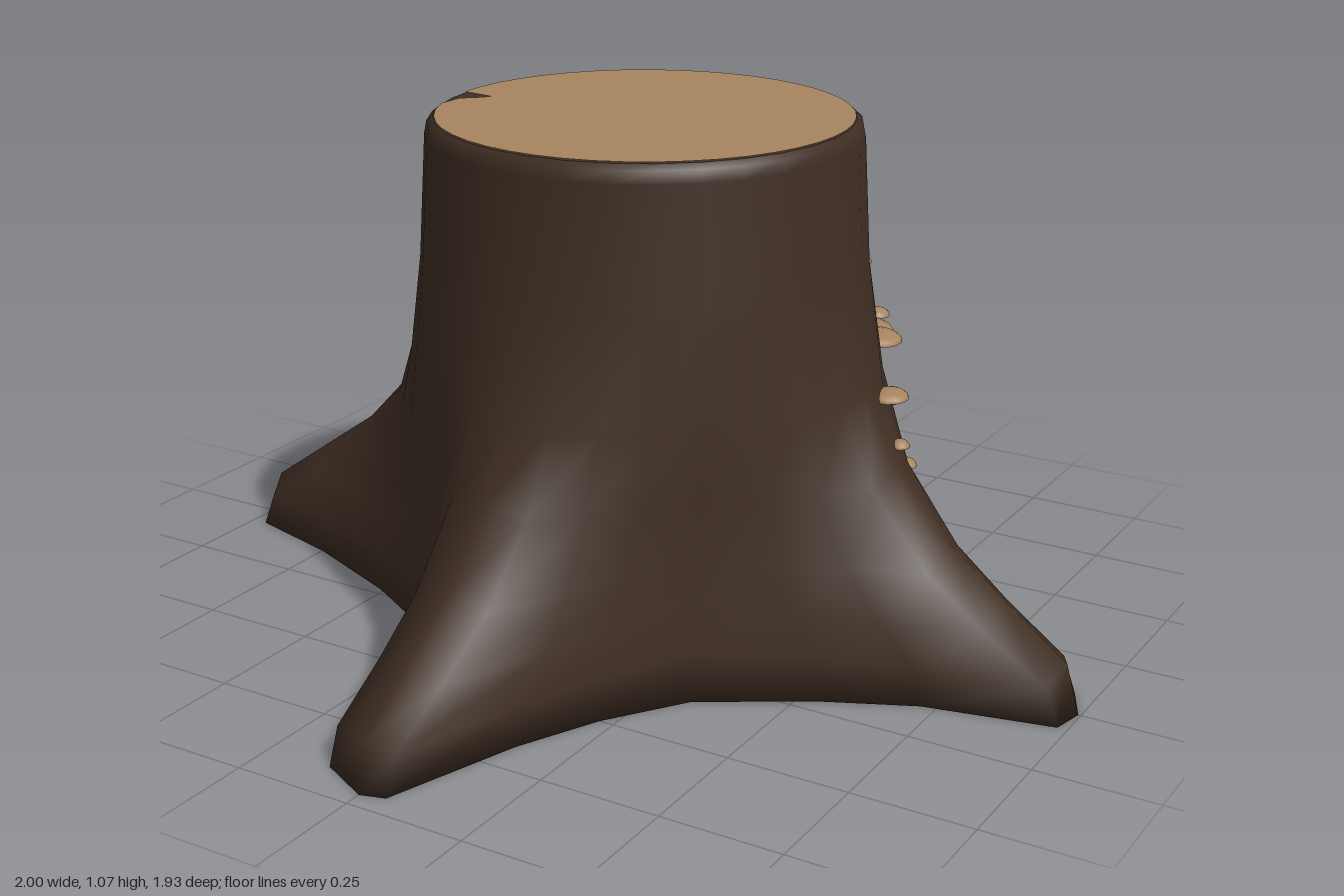
import * as THREE from 'three';

const bark = new THREE.MeshStandardMaterial({ color: 0x3f2e23 });
bark.name = 'bark';
const wood = new THREE.MeshStandardMaterial({ color: 0xa88460 });
wood.name = 'pale wood';

// Ground outline of the four roots as x, z pairs; eight points per root, starting at the +x tip
const outline = [
  [0.995, 0], [0.98, 0.07], [0.72, 0.125], [0.54, 0.21], [0.33, 0.34], [0.22, 0.5], [0.14, 0.67], [0.05, 0.95],
  [0, 0.965], [-0.11, 0.91], [-0.155, 0.6], [-0.26, 0.42], [-0.37, 0.31], [-0.51, 0.23], [-0.75, 0.13], [-0.965, 0.07],
  [-1, 0], [-0.965, -0.085], [-0.7, -0.135], [-0.5, -0.225], [-0.36, -0.33], [-0.23, -0.46], [-0.165, -0.63], [-0.095, -0.93],
  [0, -0.97], [0.06, -0.95], [0.15, -0.65], [0.24, -0.46], [0.35, -0.34], [0.5, -0.225], [0.71, -0.145], [0.955, -0.085],
];
const N = outline.length;
const CX = 0.012, CZ = -0.012;

// Height, trunk radius, and share of the root outline in each ring
const rings = [
  [0, 0.46, 1], [0.1, 0.46, 0.945], [0.2, 0.46, 0.69], [0.29, 0.46, 0.46], [0.43, 0.465, 0.215],
  [0.57, 0.475, 0.065], [0.78, 0.455, 0], [1.03, 0.44, 0], [1.055, 0.435, 0], [1.065, 0.422, 0],
];
// How far the flanks of a root sit below its crest
const droop = [0, 0.28, 0.25, 0.12, 0, 0.12, 0.25, 0.28];

function ringPoint(i, [y, r, t]) {
  const a = (i / N) * Math.PI * 2;
  const [ox, oz] = outline[i % N];
  return [
    THREE.MathUtils.lerp(CX + r * Math.cos(a), ox, t),
    y * (1 - droop[i % 8] * t),
    THREE.MathUtils.lerp(CZ + r * Math.sin(a), oz, t),
  ];
}

function trunkGeometry() {
  const pos = [], index = [];
  for (const ring of rings) for (let i = 0; i < N; i++) pos.push(...ringPoint(i, ring));
  for (let k = 0; k < rings.length - 1; k++) {
    for (let i = 0; i < N; i++) {
      const j = (i + 1) % N, a = k * N + i, b = k * N + j;
      index.push(a, a + N, b, b, a + N, b + N);
    }
  }
  // Underside
  const c = pos.length / 3;
  pos.push(0, 0, 0);
  for (let i = 0; i < N; i++) index.push(c, i, (i + 1) % N);
  const g = new THREE.BufferGeometry();
  g.setAttribute('position', new THREE.Float32BufferAttribute(pos, 3));
  g.setIndex(index);
  g.computeVertexNormals();
  return g;
}

// Trunk surface radius at a height y and an angle turning from +x towards -z
function surfaceRadius(angle, y) {
  let k = 0;
  while (rings[k + 1][0] < y) k++;
  const f = (y - rings[k][0]) / (rings[k + 1][0] - rings[k][0]);
  const ring = rings[k].map((v, n) => THREE.MathUtils.lerp(v, rings[k + 1][n], f));
  const dx = Math.cos(angle), dz = -Math.sin(angle);
  for (let i = 0; i < N; i++) {
    const [ax, , az] = ringPoint(i, ring), [bx, , bz] = ringPoint((i + 1) % N, ring);
    const sa = dx * az - dz * ax, sb = dx * bz - dz * bx;
    if (sa <= 0 && sb > 0) {
      const u = sa / (sa - sb);
      const d = dx * (ax + (bx - ax) * u) + dz * (az + (bz - az) * u);
      if (d > 0) return d;
    }
  }
  return ring[1];
}

// Shelf fungi: angle in degrees, height, half width
const fungi = [
  [10, 0.535, 0.045], [6, 0.45, 0.022], [18, 0.365, 0.028], [24, 0.485, 0.04], [24, 0.665, 0.028],
  [28, 0.31, 0.06], [39, 0.33, 0.025], [34, 0.585, 0.06], [47, 0.57, 0.075], [42, 0.465, 0.025],
  [50, 0.715, 0.045], [62, 0.725, 0.035], [50, 0.28, 0.02], [68, 0.48, 0.045], [72, 0.425, 0.05],
  [76, 0.525, 0.05], [80, 0.655, 0.05], [82, 0.395, 0.065], [84, 0.595, 0.05], [93, 0.65, 0.04],
  [98, 0.435, 0.065], [98, 0.755, 0.03], [102, 0.58, 0.045], [106, 0.66, 0.04], [107, 0.53, 0.06],
  [110, 0.6, 0.035], [114, 0.49, 0.045], [112, 0.32, 0.035], [118, 0.385, 0.025], [120, 0.595, 0.045],
  [122, 0.665, 0.03], [127, 0.615, 0.04],
];

function createFungi() {
  const group = new THREE.Group();
  group.name = 'shelfFungi';
  const dome = new THREE.SphereGeometry(1, 14, 4, 0, Math.PI * 2, 0, Math.PI / 2);
  const disc = new THREE.CircleGeometry(1, 14).rotateX(Math.PI / 2);
  for (const [deg, y, size] of fungi) {
    const a = THREE.MathUtils.degToRad(deg);
    const r = surfaceRadius(a, y) + size * 0.05;
    const fungus = new THREE.Group();
    fungus.name = 'shelfFungus';
    const cap = new THREE.Mesh(dome, wood);
    cap.name = 'fungusCap';
    const under = new THREE.Mesh(disc, bark);
    under.name = 'fungusUnderside';
    fungus.add(cap, under);
    fungus.position.set(r * Math.cos(a), y, -r * Math.sin(a));
    fungus.rotation.y = a;
    fungus.scale.set(size * 0.9, 0.012 + size * 0.15, size);
    group.add(fungus);
  }
  return group;
}

// Sawn face with a small bark notch on one side
function cutFaceGeometry() {
  const pts = [];
  for (let d = 200; d <= 544; d += 8) {
    const a = THREE.MathUtils.degToRad(d);
    pts.push(new THREE.Vector2(0.42 * Math.cos(a), 0.42 * Math.sin(a)));
  }
  for (const [x, y] of [[-0.345, -0.04], [-0.365, -0.065], [-0.39, -0.085]]) pts.push(new THREE.Vector2(x, y));
  return new THREE.ShapeGeometry(new THREE.Shape(pts)).rotateX(-Math.PI / 2);
}

export function createModel() {
  const model = new THREE.Group();
  model.name = 'treeStump';

  const trunk = new THREE.Mesh(trunkGeometry(), bark);
  trunk.name = 'trunkAndRoots';

  const rim = new THREE.Mesh(new THREE.CircleGeometry(0.422, N).rotateX(-Math.PI / 2), bark);
  rim.name = 'barkRim';
  rim.position.set(CX, 1.065, CZ);

  const cut = new THREE.Mesh(cutFaceGeometry(), wood);
  cut.name = 'cutFace';
  cut.position.set(CX, 1.068, CZ);

  model.add(trunk, rim, cut, createFungi());
  return model;
}
